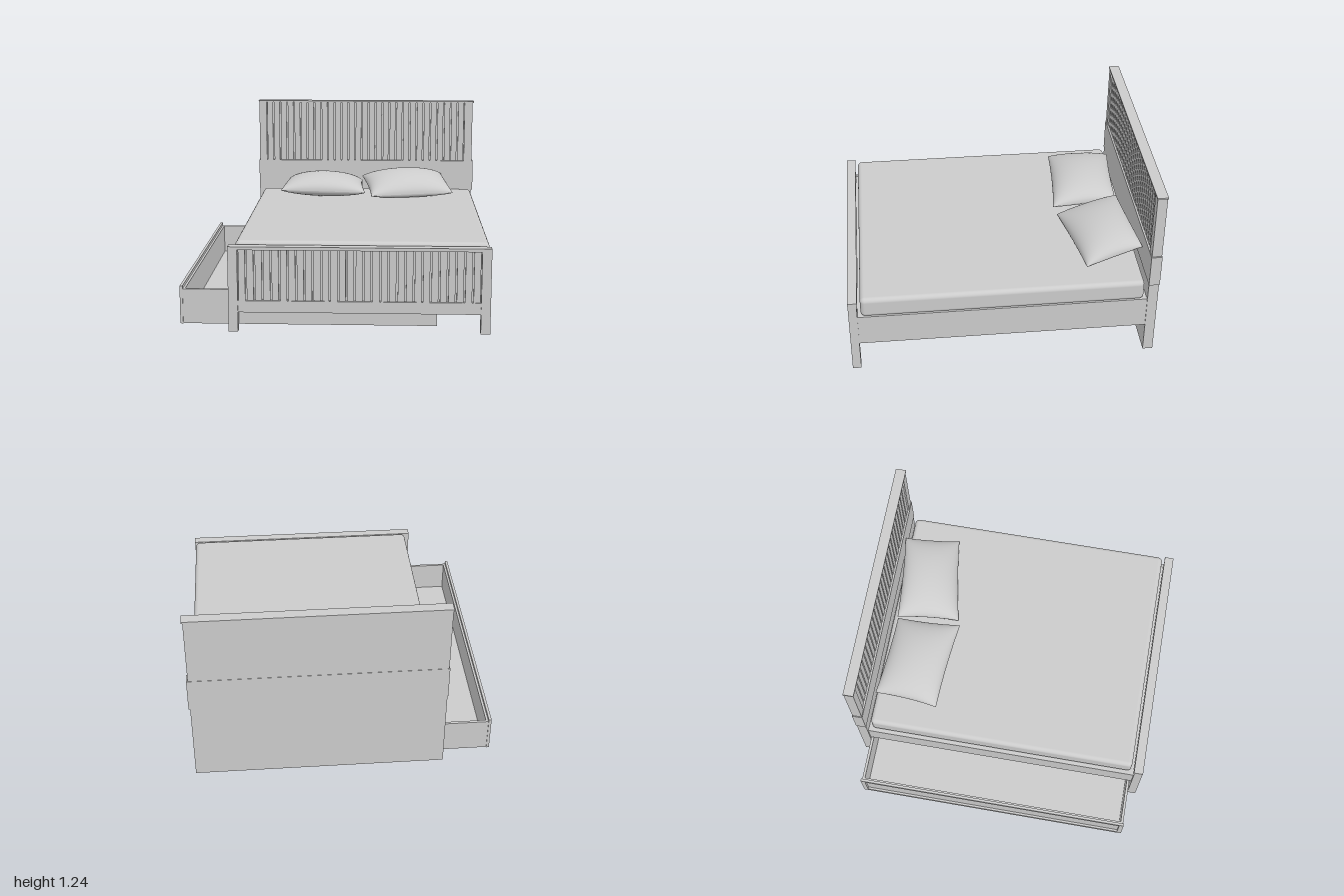
import * as THREE from 'three';
import { RoundedBoxGeometry } from 'three/addons/geometries/RoundedBoxGeometry.js';

const material = new THREE.MeshStandardMaterial({ color: 0xcccccc });

// Box given by its extents on each axis
function box(parent, name, [x0, x1], [y0, y1], [z0, z1]) {
  const mesh = new THREE.Mesh(new THREE.BoxGeometry(x1 - x0, y1 - y0, z1 - z0), material);
  mesh.position.set((x0 + x1) / 2, (y0 + y1) / 2, (z0 + z1) / 2);
  mesh.name = name;
  parent.add(mesh);
  return mesh;
}

function section(parent, name) {
  const group = new THREE.Group();
  group.name = name;
  parent.add(group);
  return group;
}

// Row of upright planks separated by narrow grooves
function planks(parent, [x0, x1], y, z, count = 29, gap = 0.01) {
  const step = (x1 - x0) / count;
  for (let i = 0; i < count; i++) {
    const x = x0 + i * step;
    box(parent, 'plank', [x + gap / 2, x + step - gap / 2], y, z);
  }
}

// Pillow: two bulging sheets between four corners (back left, back right, front right, front left)
function pillow(parent, name, corners, up, down) {
  const [a, b, c, d] = corners.map((p) => new THREE.Vector3(...p));
  const n = 28;
  const group = section(parent, name);
  for (const side of [1, -1]) {
    const geo = new THREE.PlaneGeometry(2, 2, n, n);
    const pos = geo.attributes.position;
    for (let i = 0; i < pos.count; i++) {
      // Ease the grid towards the seam, and pull the seam in between corners
      const u = Math.sin(pos.getX(i) * Math.PI / 2) * side;
      const v = Math.sin(pos.getY(i) * Math.PI / 2);
      const s = u * (1 - 0.04 * (1 - v * v)) / 2 + 0.5;
      const t = 0.5 - v * (1 - 0.04 * (1 - u * u)) / 2;
      const back = a.clone().lerp(b, s), front = d.clone().lerp(c, s);
      const p = back.lerp(front, t);
      const bulge = Math.pow(Math.max(0, (1 - u * u) * (1 - v * v)), 0.45);
      p.y = Math.max(0.566, p.y + bulge * (side > 0 ? up : -down));
      pos.setXYZ(i, p.x, p.y, p.z);
    }
    geo.computeVertexNormals();
    const mesh = new THREE.Mesh(geo, material);
    mesh.name = side > 0 ? 'pillowTop' : 'pillowUnderside';
    group.add(mesh);
  }
}

export function createModel() {
  const bed = new THREE.Group();
  bed.name = 'bed';
  const panelX = [-0.61, 0.91];

  // Headboard: solid lower board, wider middle board, grooved top panel in a frame
  const head = section(bed, 'headboard');
  box(head, 'lowerBoard', [-0.665, 0.97], [0, 0.555], [-0.998, -0.932]);
  box(head, 'middleBoard', [-0.67, 0.98], [0.555, 0.78], [-1, -0.93]);
  box(head, 'panelBacking', [-0.665, 0.97], [0.78, 1.23], [-0.998, -0.955]);
  planks(head, panelX, [0.78, 1.23], [-0.956, -0.942]);
  box(head, 'stile', [-0.665, -0.61], [0.78, 1.23], [-0.96, -0.934]);
  box(head, 'stile', [0.91, 0.97], [0.78, 1.23], [-0.96, -0.934]);
  box(head, 'cap', [-0.67, 0.98], [1.228, 1.24], [-1, -0.93]);

  // Footboard: two legs, bottom rail, grooved panel and cap
  const foot = section(bed, 'footboard');
  box(foot, 'leg', [-0.67, -0.61], [0, 0.53], [0.942, 0.998]);
  box(foot, 'leg', [0.91, 0.97], [0, 0.53], [0.942, 0.998]);
  box(foot, 'bottomRail', panelX, [0.125, 0.2], [0.945, 0.994]);
  box(foot, 'panelBacking', panelX, [0.2, 0.53], [0.945, 0.972]);
  planks(foot, panelX, [0.2, 0.525], [0.971, 0.986]);
  box(foot, 'cap', [-0.67, 0.97], [0.527, 0.548], [0.938, 1]);

  // Frame: side rails and mattress platform
  const frame = section(bed, 'frame');
  box(frame, 'rightRail', [-0.655, -0.635], [0.27, 0.43], [-0.932, 0.942]);
  box(frame, 'leftRail', [0.945, 0.965], [0.21, 0.43], [-0.932, 0.942]);
  box(frame, 'platform', [-0.635, 0.945], [0.395, 0.425], [-0.932, 0.942]);

  // Large pulled-out drawer with a framed front
  const drawer = section(bed, 'drawer');
  box(drawer, 'drawerFloor', [-0.965, 0.64], [0.03, 0.05], [-0.93, 0.93]);
  box(drawer, 'drawerEnd', [0.62, 0.64], [0.05, 0.255], [-0.93, 0.93]);
  for (const z of [[-0.93, -0.912], [0.912, 0.93]]) {
    box(drawer, 'drawerSide', [-0.955, 0.62], [0.05, 0.255], z);
  }
  box(drawer, 'drawerFront', [-0.97, -0.952], [0.03, 0.255], [-0.93, 0.93]);
  box(drawer, 'frontTopTrim', [-0.985, -0.967], [0.248, 0.275], [-0.935, 0.935]);
  box(drawer, 'frontBottomTrim', [-0.985, -0.967], [0.03, 0.06], [-0.935, 0.935]);
  for (const z of [[-0.935, -0.905], [0.905, 0.935]]) {
    box(drawer, 'frontSideTrim', [-0.985, -0.967], [0.06, 0.248], z);
  }

  // Mattress
  const mattress = new THREE.Mesh(new RoundedBoxGeometry(1.593, 0.143, 1.83, 5, 0.03), material);
  mattress.name = 'mattress';
  mattress.position.set(0.165, 0.4945, 0.005);
  bed.add(mattress);

  // Pillows
  pillow(bed, 'rightPillow',
    [[-0.435, 0.635, -0.905], [0.135, 0.635, -0.865], [0.16, 0.62, -0.425], [-0.465, 0.625, -0.475]], 0.105, 0.065);
  pillow(bed, 'leftPillow',
    [[0.13, 0.67, -0.865], [0.735, 0.68, -0.93], [0.81, 0.6, -0.555], [0.205, 0.59, -0.445]], 0.108, 0.06);

  return bed;
}
